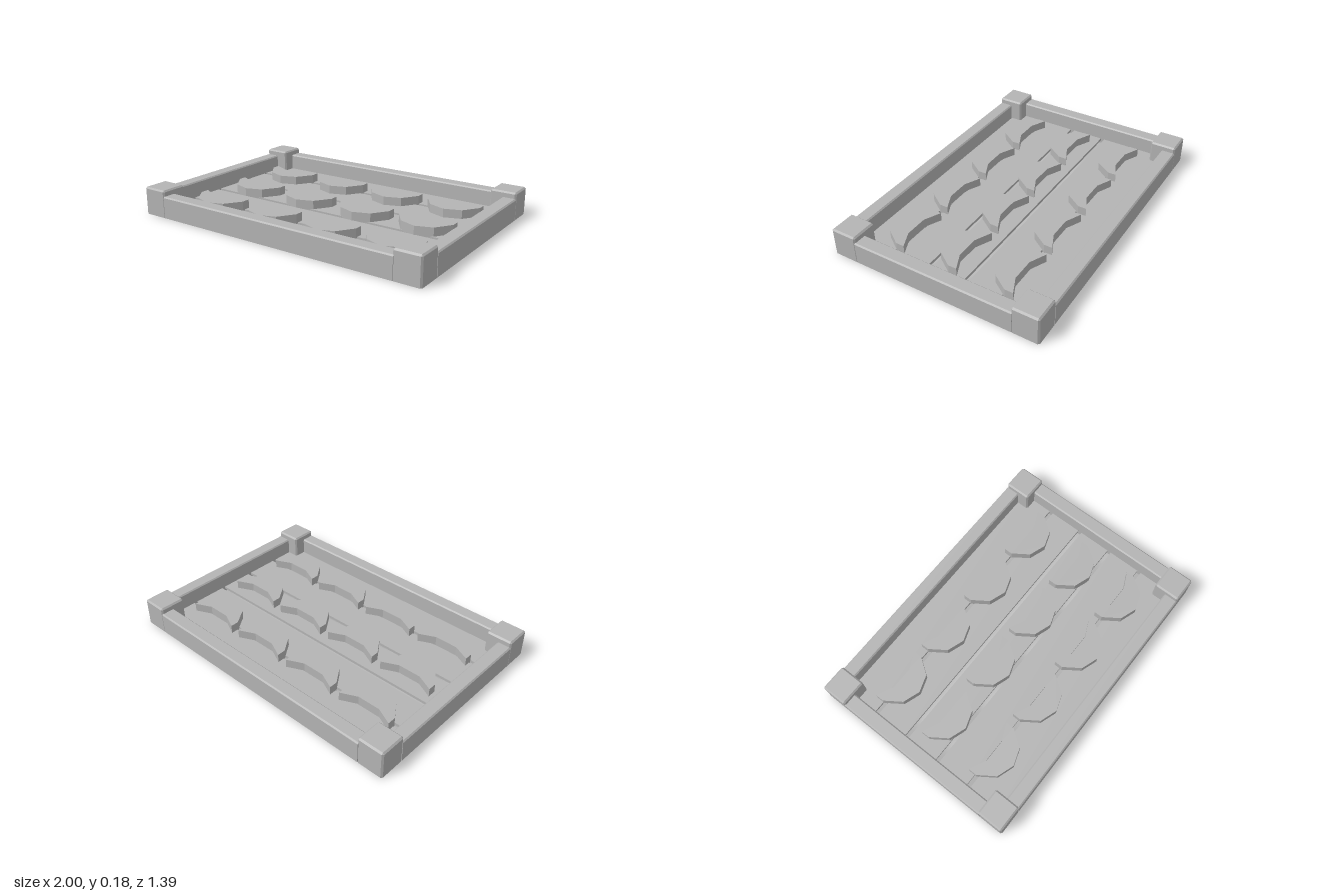
import * as THREE from 'three';
import { ConvexGeometry } from 'three/addons/geometries/ConvexGeometry.js';

export function createModel() {
  const root = new THREE.Group();
  root.name = 'crate';
  const grey = new THREE.MeshStandardMaterial({ color: 0xb4b4b4 });
  grey.name = 'grey';

  const add = (name, geometry, x, y, z, turn = 0) => {
    const mesh = new THREE.Mesh(geometry, grey);
    mesh.name = name;
    mesh.position.set(x, y, z);
    mesh.rotation.y = turn;
    root.add(mesh);
  };

  // Corner post: chamfered upright edges and top
  const postGeometry = (size, h, b) => {
    const points = [];
    const r = size / 2;
    for (const sx of [-1, 1]) for (const sz of [-1, 1]) {
      for (const y of [0, h - b]) {
        points.push(new THREE.Vector3(sx * r, y, sz * (r - b)));
        points.push(new THREE.Vector3(sx * (r - b), y, sz * r));
      }
      points.push(new THREE.Vector3(sx * (r - b), h, sz * (r - b)));
    }
    return new ConvexGeometry(points);
  };

  // Rail along x: chamfered long top edges
  const railGeometry = (length, h, depth, b) => {
    const points = [];
    for (const sx of [-1, 1]) for (const sz of [-1, 1]) {
      const x = sx * length / 2;
      points.push(new THREE.Vector3(x, 0, sz * depth / 2));
      points.push(new THREE.Vector3(x, h - b, sz * depth / 2));
      points.push(new THREE.Vector3(x, h, sz * (depth / 2 - b)));
    }
    return new ConvexGeometry(points);
  };

  const W = 1, D = 0.695, post = 0.172, rail = 0.092;
  const postGeo = postGeometry(post, 0.18, 0.01);
  const longRail = railGeometry(2 * (W - post) + 0.01, 0.142, rail, 0.008);
  const shortRail = railGeometry(2 * (D - post) + 0.01, 0.142, rail, 0.008);

  // Frame
  for (const s of [-1, 1]) {
    for (const t of [-1, 1]) add('cornerPost', postGeo, s * (W - post / 2), 0, t * (D - post / 2));
    add(s > 0 ? 'frontRail' : 'backRail', longRail, 0, 0, s * (D - rail / 2));
    add(s > 0 ? 'leftRail' : 'rightRail', shortRail, s * (W - rail / 2), 0, 0, Math.PI / 2);
  }

  // Floor slats, raised a little above the ground
  const slatGeo = new THREE.BoxGeometry(2 * (W - rail) + 0.01, 0.018, 0.22);
  for (let i = -2; i <= 2; i++) add('floorSlat', slatGeo, 0, 0.027, i * 0.2465 - 0.003);

  // Curved wedges, laid in three rows of four
  const outline = [
    [-0.182, -0.1], [-0.075, -0.05], [0.075, -0.05], [0.182, -0.1], [0.182, -0.045],
    [0.11, 0.06], [0, 0.098], [-0.11, 0.06], [-0.182, -0.045],
  ];
  const shape = new THREE.Shape(outline.map(([x, z]) => new THREE.Vector2(x, -z)));
  const wedgeGeo = new THREE.ExtrudeGeometry(shape, { depth: 0.062, bevelEnabled: false });
  wedgeGeo.rotateX(-Math.PI / 2);
  for (let row = -1; row <= 1; row++) {
    for (let col = 0; col < 4; col++) {
      add('curvedWedge', wedgeGeo, (col - 1.5) * 0.431, 0.03, 0.04 + row * 0.373);
    }
  }
  return root;
}
